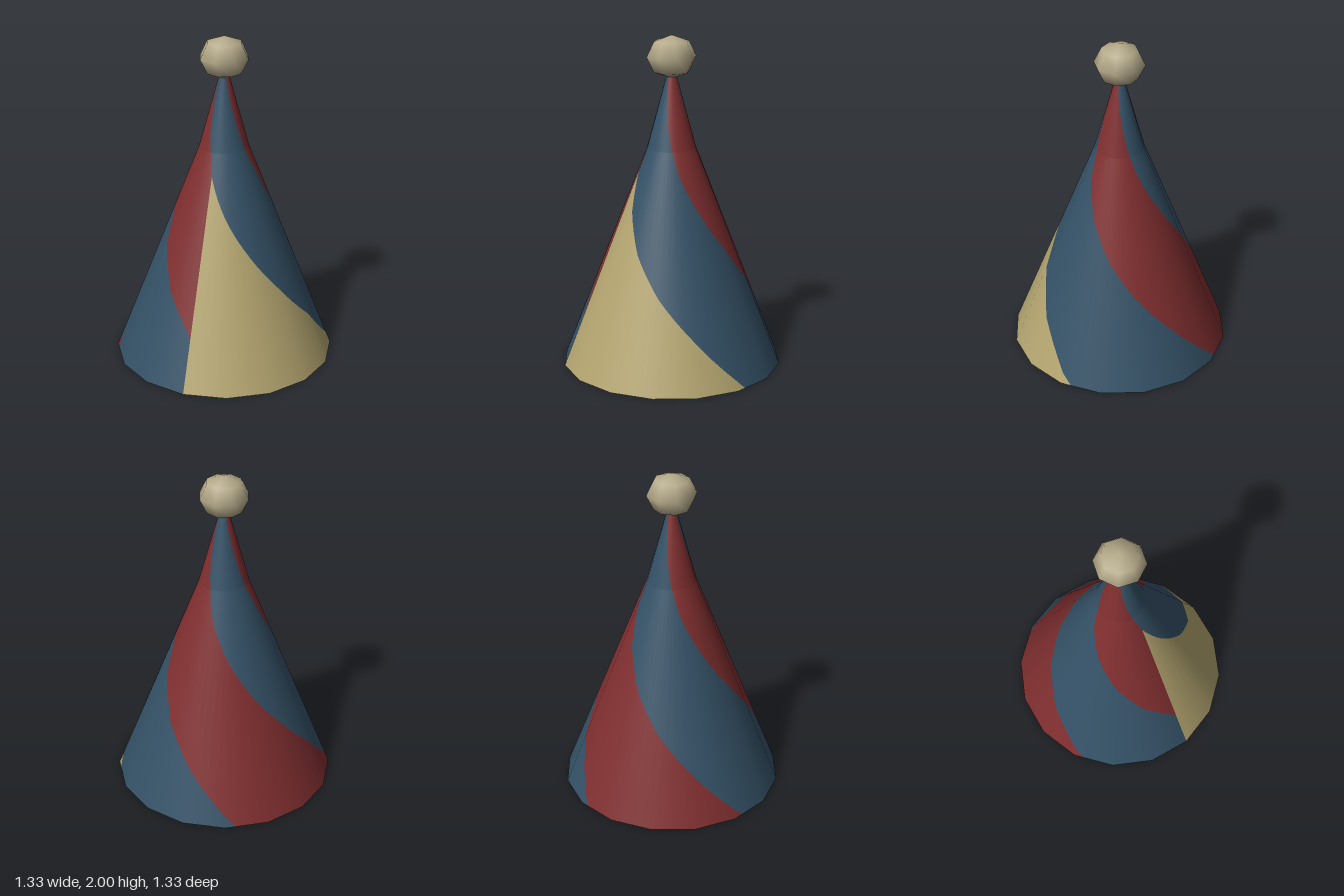
import * as THREE from 'three';

const SIDES = 16, SUB = 4;            // facets, and columns in each facet
const TOP = 1.78, BEND = 1.33;

const lerp = THREE.MathUtils.lerp, clamp = THREE.MathUtils.clamp;
const mat = (name, color, side = THREE.FrontSide) => {
  const m = new THREE.MeshStandardMaterial({ color, side });
  m.name = name;
  return m;
};

// Cone radius at height y, with a slight bend in the upper part
const radius = (y) => (y < BEND ? lerp(0.667, 0.148, y / BEND) : lerp(0.148, 0.025, (y - BEND) / (TOP - BEND)));

// Height of a stripe edge at d degrees past the point where it passes y = 1.2
const EDGE = [[-50, 1.77], [0, 1.2], [90, 0.31], [118.125, 0]];
function edgeHeight(d) {
  let i = 0;
  while (i < EDGE.length - 2 && d > EDGE[i + 1][0]) i++;
  const [a, ya] = EDGE[i], [b, yb] = EDGE[i + 1];
  return ya + ((d - a) / (b - a)) * (yb - ya);
}

// Point on the faceted cone for a column index and height
function conePoint(col, y) {
  const f = Math.floor(col / SUB), t = (col % SUB) / SUB, r = radius(y);
  const a = (f / SIDES) * Math.PI * 2, b = ((f + 1) / SIDES) * Math.PI * 2;
  return [r * lerp(Math.sin(a), Math.sin(b), t), y, r * lerp(Math.cos(a), Math.cos(b), t)];
}

// Spiral band between edge k - 1 and edge k; the edges are 90 degrees apart
function bandGeometry(k) {
  const pos = [], nor = [], cols = SIDES * SUB;
  const put = (col, y, ny) => {
    const a = (col / cols) * Math.PI * 2, l = Math.hypot(1, ny);
    pos.push(...conePoint(col, y));
    nor.push(Math.sin(a) / l, ny / l, Math.cos(a) / l);
  };
  for (const [y0, y1, ny] of [[0, BEND, 0.389], [BEND, TOP, 0.28]]) {
    for (let c = 0; c < cols; c++) {
      const low = (i) => (k === 0 ? y0 : clamp(edgeHeight((i / cols) * 360 - (k - 1) * 90), y0, y1));
      const high = (i) => (k === 5 ? y1 : clamp(edgeHeight((i / cols) * 360 - k * 90), y0, y1));
      const a0 = low(c), a1 = high(c), b0 = low(c + 1), b1 = high(c + 1);
      if (b1 - b0 > 1e-5) { put(c, a0, ny); put(c + 1, b0, ny); put(c + 1, b1, ny); }
      if (a1 - a0 > 1e-5) { put(c, a0, ny); put(c + 1, b1, ny); put(c, a1, ny); }
    }
  }
  const g = new THREE.BufferGeometry();
  g.setAttribute('position', new THREE.Float32BufferAttribute(pos, 3));
  g.setAttribute('normal', new THREE.Float32BufferAttribute(nor, 3));
  return g;
}

export function createModel() {
  const group = new THREE.Group();
  group.name = 'partyHat';
  const tan = mat('tan paper', 0xb3a46f, THREE.DoubleSide);
  const blue = mat('blue paper', 0x345166, THREE.DoubleSide);
  const red = mat('red paper', 0x7f2e2f, THREE.DoubleSide);
  const cream = mat('cream pompom', 0xb5aa8a);

  // Open paper cone wrapped in spiral stripes
  const cone = new THREE.Group();
  cone.name = 'cone';
  [tan, blue, red, blue, red, blue].forEach((material, k) => {
    const stripe = new THREE.Mesh(bandGeometry(k), material);
    stripe.name = 'stripe' + (k + 1);
    cone.add(stripe);
  });
  group.add(cone);

  // Slightly squashed ball on the tip
  const pompom = new THREE.Mesh(new THREE.SphereGeometry(0.15, 8, 4), cream);
  pompom.name = 'pompom';
  pompom.scale.y = 0.85;
  pompom.position.y = 1.8725;
  group.add(pompom);

  return group;
}
